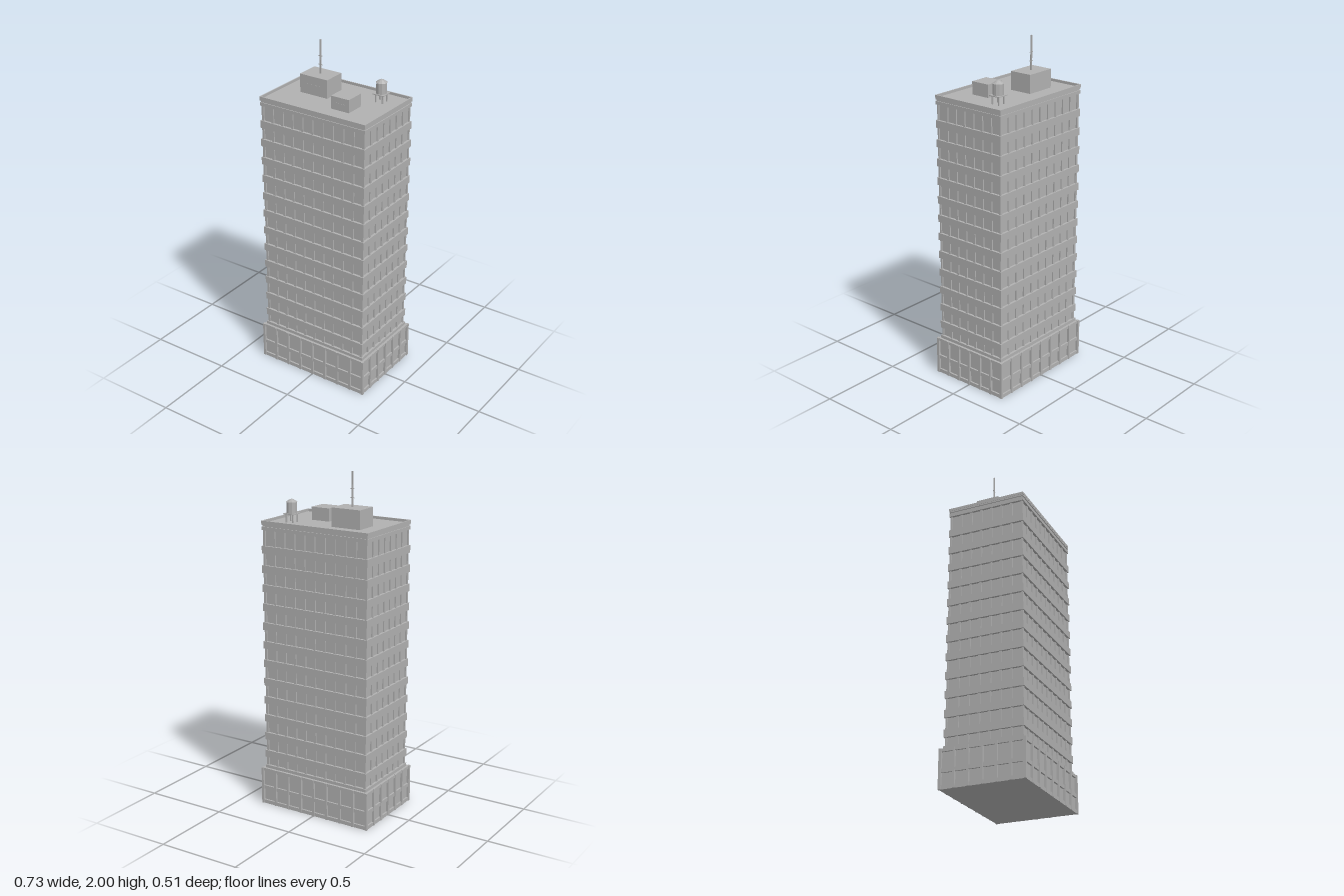
import * as THREE from 'three';

export function createModel() {
  const model = new THREE.Group();
  const concrete = new THREE.MeshStandardMaterial({ color: 0xb0b0b0 });
  concrete.name = 'concrete grey';

  const add = (parent, name, geo, x, y, z) => {
    const m = new THREE.Mesh(geo, concrete);
    m.name = name;
    m.position.set(x, y, z);
    parent.add(m);
    return m;
  };
  // Box given by its limits
  const block = (parent, name, x0, x1, y0, y1, z0, z1) =>
    add(parent, name, new THREE.BoxGeometry(x1 - x0, y1 - y0, z1 - z0),
      (x0 + x1) / 2, (y0 + y1) / 2, (z0 + z1) / 2);
  const group = (name) => {
    const g = new THREE.Group();
    g.name = name;
    model.add(g);
    return g;
  };
  const slab = (parent, name, hx, hz, y0, y1) => block(parent, name, -hx, hx, y0, y1, -hz, hz);
  // Open rectangular rim of thickness t
  const rim = (parent, name, hx, hz, t, y0, y1) => {
    for (const s of [-1, 1]) {
      add(parent, name, new THREE.BoxGeometry(2 * hx, y1 - y0, t), 0, (y0 + y1) / 2, s * (hz - t / 2));
      add(parent, name, new THREE.BoxGeometry(t, y1 - y0, 2 * (hz - t)), s * (hx - t / 2), (y0 + y1) / 2, 0);
    }
  };
  // Evenly spaced uprights on all four walls, corners included
  const uprights = (parent, name, hx, hz, nx, nz, w, d, y0, y1) => {
    const h = y1 - y0, y = (y0 + y1) / 2;
    for (const s of [-1, 1]) {
      for (let i = 0; i <= nx; i++) {
        const x = (i / nx * 2 - 1) * (hx - w / 2);
        add(parent, name, new THREE.BoxGeometry(w, h, d), x, y, s * (hz - d / 2));
      }
      for (let i = 1; i < nz; i++) {
        const z = (i / nz * 2 - 1) * (hz - w / 2);
        add(parent, name, new THREE.BoxGeometry(d, h, w), s * (hx - d / 2), y, z);
      }
    }
  };

  // Podium with two rows of recessed panels
  const podium = group('podium');
  slab(podium, 'podiumWall', 0.351, 0.239, 0, 0.215);
  for (const [y0, y1] of [[0, 0.022], [0.092, 0.114], [0.208, 0.225]])
    slab(podium, 'podiumBeam', 0.361, 0.249, y0, y1);
  uprights(podium, 'podiumPilaster', 0.365, 0.253, 8, 6, 0.014, 0.016, 0, 0.226);

  // Tower: a recessed wall, window piers and projecting floor bands
  const tower = group('tower');
  const base = 0.225, pitch = 0.1118, floors = 13, bandHeight = 0.044;
  const top = base + floors * pitch;
  slab(tower, 'windowWall', 0.333, 0.221, base, 1.68);
  slab(tower, 'towerSill', 0.347, 0.235, base, 0.243);
  uprights(tower, 'windowPier', 0.341, 0.229, 10, 7, 0.014, 0.01, base, 1.67);
  for (let i = 1; i < floors; i++) {
    const y = base + i * pitch;
    slab(tower, 'floorBand', 0.347, 0.235, y - bandHeight, y);
  }

  // Cornice, roof deck and parapet
  const roof = group('roof');
  slab(roof, 'lowerCornice', 0.347, 0.235, top - 0.022, top - 0.002);
  slab(roof, 'corniceGroove', 0.342, 0.23, top - 0.002, 1.688);
  slab(roof, 'roofDeck', 0.347, 0.235, 1.685, 1.695);
  rim(roof, 'parapet', 0.348, 0.236, 0.007, 1.695, 1.71);

  // Rooftop plant rooms with vent slots on the front
  const plant = group('plantRooms');
  block(plant, 'largePlantRoom', -0.226, -0.043, 1.69, 1.803, -0.115, 0.023);
  block(plant, 'smallPlantRoom', 0.053, 0.169, 1.69, 1.77, 0.008, 0.123);
  for (let i = 0; i < 4; i++) {
    add(plant, 'vent', new THREE.BoxGeometry(0.014, 0.005, 0.002), -0.172 + i * 0.025, 1.755, 0.0235);
    add(plant, 'vent', new THREE.BoxGeometry(0.01, 0.004, 0.002), 0.084 + i * 0.018, 1.735, 0.1235);
  }

  // Mast with short rungs
  const mast = group('mast');
  block(mast, 'mastPole', -0.139, -0.131, 1.8, 2, -0.05, -0.042);
  for (const y of [1.855, 1.905])
    add(mast, 'mastRung', new THREE.BoxGeometry(0.025, 0.004, 0.004), -0.135, y, -0.046);

  // Water tank on a legged platform
  const tank = group('waterTank');
  tank.position.set(0.223, 0, -0.113);
  for (const x of [-1, 1]) for (const z of [-1, 1])
    add(tank, 'tankLeg', new THREE.BoxGeometry(0.007, 0.05, 0.007), x * 0.022, 1.718, z * 0.022);
  add(tank, 'tankPlatform', new THREE.BoxGeometry(0.07, 0.005, 0.07), 0, 1.744, 0);
  const facet = (g) => {
    const f = g.toNonIndexed();
    f.computeVertexNormals();
    return f;
  };
  add(tank, 'tankBarrel', facet(new THREE.CylinderGeometry(0.03, 0.03, 0.064, 10)), 0, 1.778, 0);
  add(tank, 'tankRoof', facet(new THREE.CylinderGeometry(0.012, 0.033, 0.014, 10)), 0, 1.817, 0);
  add(tank, 'tankCap', facet(new THREE.ConeGeometry(0.012, 0.004, 10)), 0, 1.826, 0);

  return model;
}
